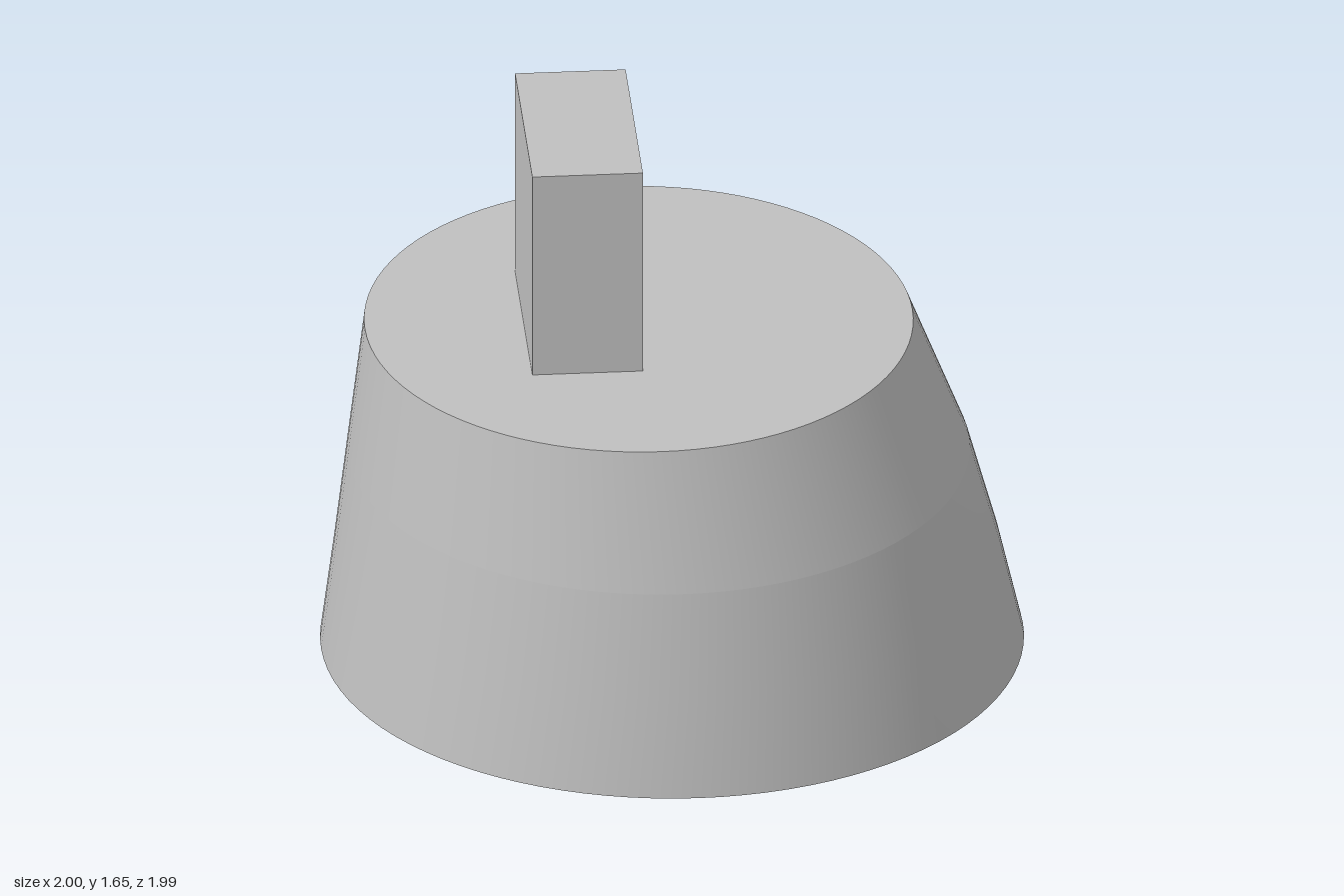
import * as THREE from 'three';

const SEGMENTS = 96;

// Rings of the skewed base: height, left end (-x), right end (+x), half depth
const RINGS = [
  [0, -1, 1, 0.995],
  [0.3, -0.961, 0.931, 0.957],
  [0.61, -0.924, 0.846, 0.908],
  [1.02, -0.875, 0.685, 0.813],
];

// Smooth wall lofted through a run of elliptical rings
function loftWall(rings) {
  const positions = [];
  const index = [];
  for (const [y, left, right, depth] of rings) {
    for (let i = 0; i < SEGMENTS; i++) {
      const a = (i / SEGMENTS) * Math.PI * 2;
      positions.push((left + right) / 2 + Math.cos(a) * (right - left) / 2, y, Math.sin(a) * depth);
    }
  }
  for (let r = 0; r < rings.length - 1; r++) {
    for (let i = 0; i < SEGMENTS; i++) {
      const p = r * SEGMENTS + i;
      const q = r * SEGMENTS + (i + 1) % SEGMENTS;
      index.push(p, p + SEGMENTS, q, q, p + SEGMENTS, q + SEGMENTS);
    }
  }
  const geometry = new THREE.BufferGeometry();
  geometry.setAttribute('position', new THREE.Float32BufferAttribute(positions, 3));
  geometry.setIndex(index);
  geometry.computeVertexNormals();
  return geometry;
}

// Flat elliptical cap, facing up or down
function cap([y, left, right, depth], up) {
  return new THREE.CircleGeometry(1, SEGMENTS)
    .scale((right - left) / 2, depth, 1)
    .rotateX(up ? -Math.PI / 2 : Math.PI / 2)
    .translate((left + right) / 2, y, 0);
}

export function createModel() {
  const model = new THREE.Group();
  const grey = new THREE.MeshStandardMaterial({ color: 0xc0c0c0 });
  grey.name = 'light grey';

  const add = (name, geometry) => {
    const mesh = new THREE.Mesh(geometry, grey);
    mesh.name = name;
    model.add(mesh);
  };

  // Tapered base, with a soft crease where the taper steepens
  add('lowerWall', loftWall(RINGS.slice(0, 3)));
  add('upperWall', loftWall(RINGS.slice(2)));
  add('underside', cap(RINGS[0], false));
  add('topFace', cap(RINGS[3], true));

  // Rectangular block standing off-centre on the top
  add('block', new THREE.BoxGeometry(0.315, 0.635, 0.635).translate(-0.265, 1.3375, 0));

  return model;
}
